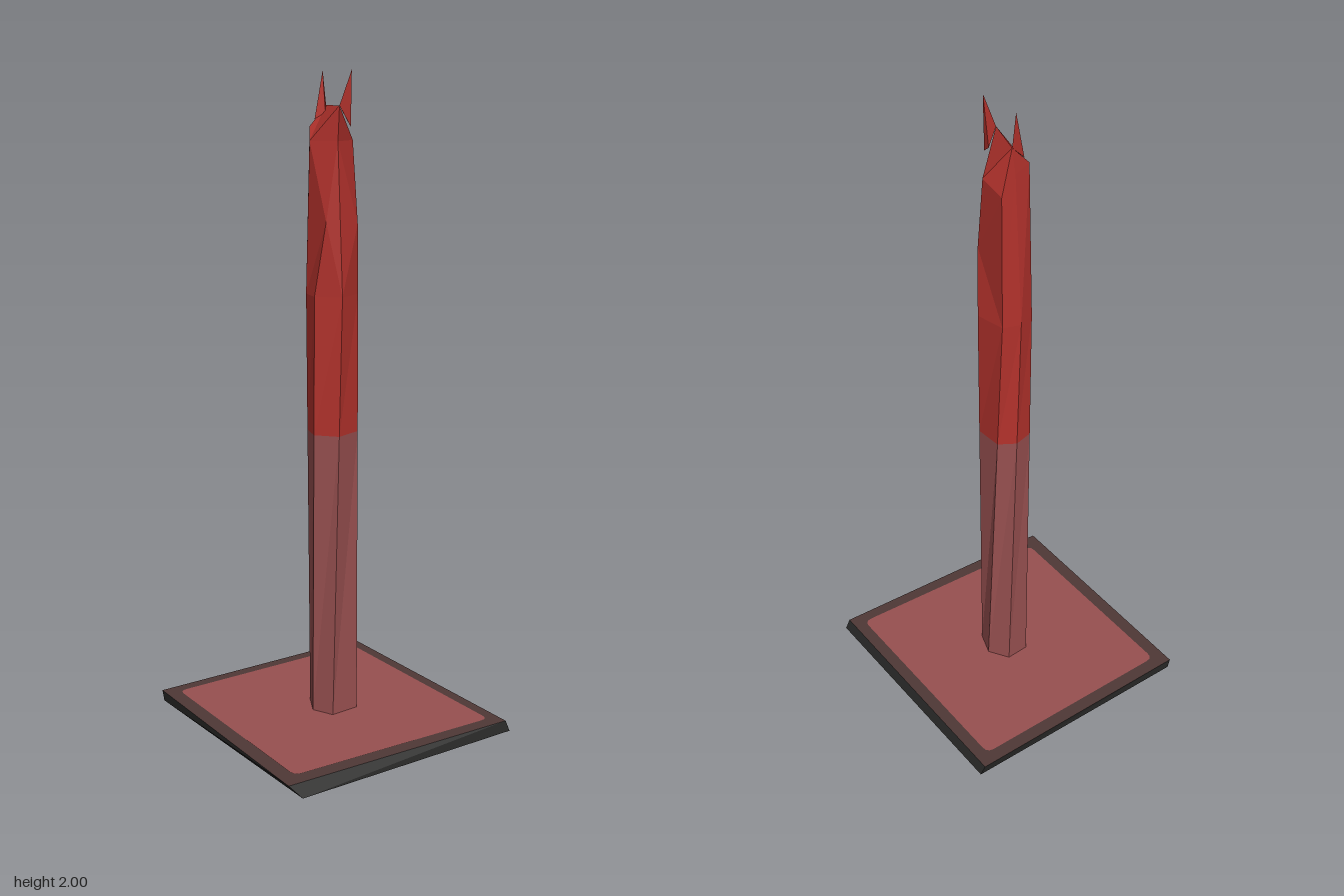
import * as THREE from 'three';
import { ConvexGeometry } from 'three/addons/geometries/ConvexGeometry.js';

const material = (name, color) => {
  const m = new THREE.MeshStandardMaterial({ color, flatShading: true });
  m.name = name;
  return m;
};

// Faceted geometry from named points and triangles written as 'a b c'
function facets(points, faces) {
  const pos = faces.flatMap((f) => f.split(' ').flatMap((k) => points[k]));
  const g = new THREE.BufferGeometry();
  g.setAttribute('position', new THREE.Float32BufferAttribute(pos, 3));
  g.computeVertexNormals();
  return g;
}

// Side wall between two rings of [x, y, z] points listed front, right, back, left
function wall(lower, upper) {
  const points = {}, faces = [], n = lower.length;
  for (let i = 0; i < n; i++) {
    const j = (i + 1) % n;
    points['l' + i] = lower[i];
    points['u' + i] = upper[i];
    faces.push(`l${i} l${j} u${j}`, `l${i} u${j} u${i}`);
  }
  return facets(points, faces);
}

const ring = (y, xz) => xz.map(([x, z]) => [x, y, z]);

export function createModel() {
  const group = new THREE.Group();
  const red = material('bright red', 0xb3322c);
  const dusty = material('dusty red', 0x985050);
  const brown = material('dark brown', 0x4f3836);
  const black = material('charcoal', 0x2a2a29);
  const add = (name, geometry, mat) => {
    const mesh = new THREE.Mesh(geometry, mat);
    mesh.name = name;
    group.add(mesh);
  };

  // Skewed base slab
  const top = ring(0.035, [[-0.4, 0.378], [0.385, 0.4], [0.383, -0.408], [-0.386, -0.404]]);
  const bottom = ring(0, [[-0.37, 0.405], [0.398, 0.405], [0.394, -0.4], [-0.382, -0.4]]);
  add('baseSides', wall(bottom, top), black);
  add('baseUnderside', facets(bottom, ['0 2 1', '0 3 2']), black);
  add('baseRim', facets(top, ['0 1 2', '0 2 3']), brown);

  // Inset panel with clipped round corners
  const corners = [[-0.353, 0.335], [0.347, 0.36], [0.345, -0.367], [-0.343, -0.364]]
    .map(([x, z]) => new THREE.Vector2(x, -z));
  const panel = new THREE.Shape();
  corners.forEach((c, i) => {
    const toward = (k) => c.clone().add(corners[k % 4].clone().sub(c).setLength(0.025));
    const a = toward(i + 3), b = toward(i + 1);
    if (i === 0) panel.moveTo(a.x, a.y); else panel.lineTo(a.x, a.y);
    panel.quadraticCurveTo(c.x, c.y, b.x, b.y);
  });
  add('basePanel', new THREE.ShapeGeometry(panel, 3).rotateX(-Math.PI / 2).translate(0, 0.037, 0), dusty);

  // Slightly twisted six-sided post, split where the colour changes
  const foot = ring(0.035, [[-0.035, 0.066], [0.06, 0.06], [0.085, -0.012], [0.045, -0.075], [-0.03, -0.07], [-0.066, 0]]);
  const neck = ring(1.35, [[-0.01, 0.078], [0.077, 0.035], [0.06, -0.062], [0.005, -0.078], [-0.05, -0.055], [-0.07, 0.02]]);
  const joint = foot.map((p, i) => p.map((v, k) => THREE.MathUtils.lerp(v, neck[i][k], 0.681)));
  add('lowerPost', wall(foot, joint), dusty);
  add('upperPost', wall(joint, neck), red);

  // Pinched head with a sloping ridge on top
  const head = {
    ...Object.fromEntries(neck.map((p, i) => ['n' + i, p])),
    pinchR: [0.06, 1.56, 0.055], pinchL: [-0.05, 1.57, 0.052],
    front: [-0.02, 1.8, 0.068], right: [0.08, 1.8, 0], backR: [0.06, 1.76, -0.06],
    back: [0.02, 1.82, -0.068], backL: [-0.03, 1.84, -0.063], left: [-0.066, 1.8, -0.01],
    ridgeF: [-0.015, 1.9, 0.068], ridgeB: [0.03, 1.9, -0.066],
  };
  add('head', facets(head, [
    'n0 pinchR front', 'n0 front pinchL', 'n0 n1 pinchR', 'pinchR right front',
    'n1 n2 pinchR', 'n2 backR pinchR', 'pinchR backR right',
    'n2 n3 back', 'n2 back backR', 'n3 n4 backL', 'n3 backL back', 'n4 left backL',
    'n4 n5 pinchL', 'n4 pinchL left', 'n5 n0 pinchL', 'pinchL front left',
    'left front ridgeF', 'front right ridgeF', 'right backR ridgeB', 'backR back ridgeB',
    'back backL ridgeB', 'backL left ridgeB', 'left ridgeF ridgeB', 'ridgeF right ridgeB',
  ]), red);

  // Thin pointed spikes at both ends of the ridge
  const spike = (name, pts) => add(name, new ConvexGeometry(pts.map((p) => new THREE.Vector3(...p))), red);
  spike('frontSpike', [head.ridgeF, [0.03, 1.86, 0.04], [0.025, 1.84, 0.068], [0.022, 2, 0.076]]);
  spike('backSpike', [head.ridgeB, [-0.012, 1.86, -0.064], [0.01, 1.88, -0.04], [0.022, 2, -0.072]]);

  return group;
}
